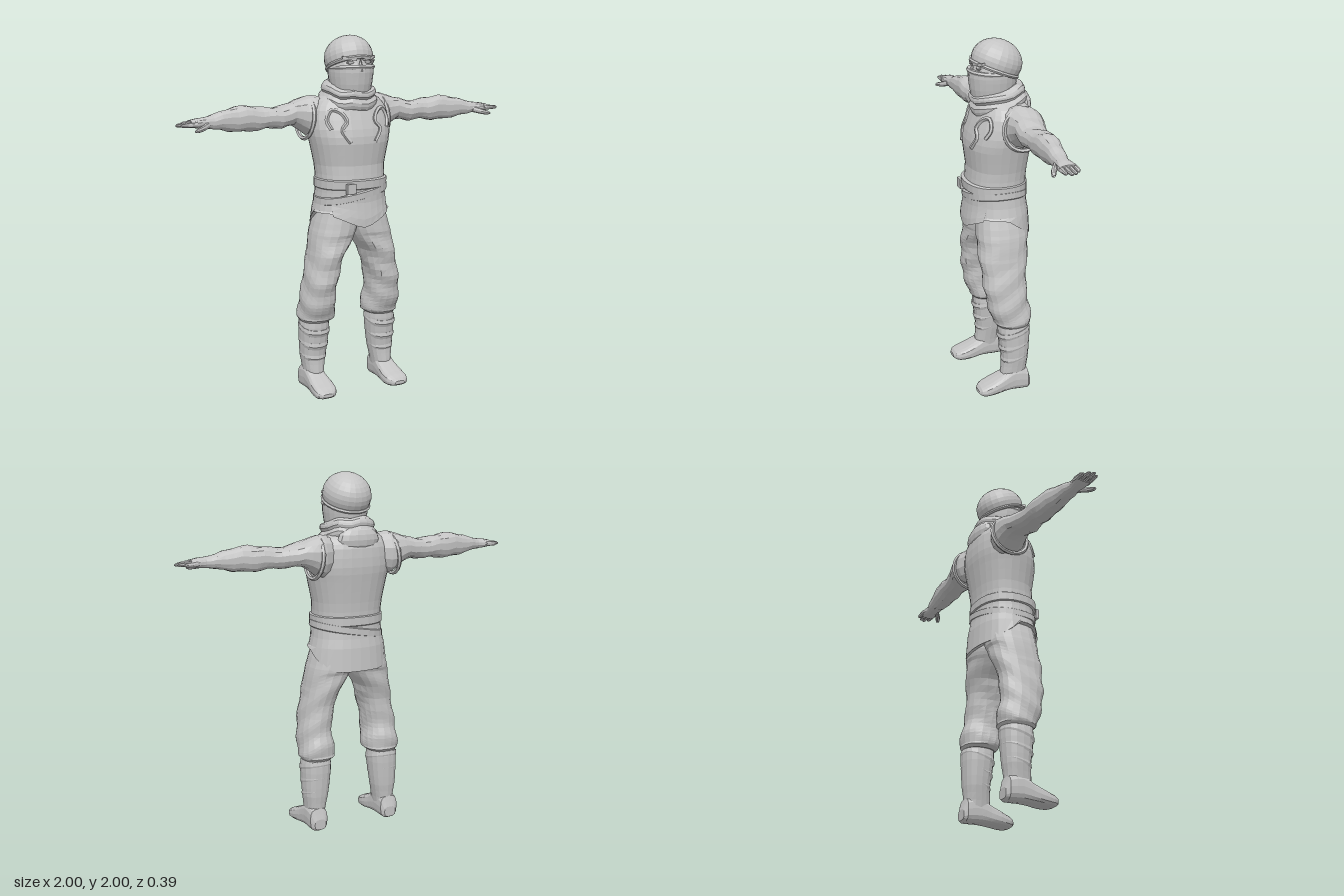
import * as THREE from 'three';

const clay = new THREE.MeshStandardMaterial({ color: 0xc4c4c4, flatShading: true, side: THREE.DoubleSide });
clay.name = 'light grey';

const spow = (v, e) => Math.sign(v) * Math.pow(Math.abs(v), e);

// Smooth interpolation of one row between its neighbours
function blend(rows, i, f) {
  const at = (k) => rows[Math.min(Math.max(k, 0), rows.length - 1)];
  const [p, a, b, n] = [at(i - 1), at(i), at(i + 1), at(i + 2)];
  return a.map((_, c) => {
    const m0 = (b[c] - p[c]) / 2, m1 = (n[c] - a[c]) / 2, f2 = f * f, f3 = f2 * f;
    return c === 0 ? a[0] + (b[0] - a[0]) * f
      : (2 * f3 - 3 * f2 + 1) * a[c] + (f3 - 2 * f2 + f) * m0 + (3 * f2 - 2 * f3) * b[c] + (f3 - f2) * m1;
  });
}

// Loft of rounded sections. Row: [t, aMin, aMax, bMin, bMax] along axis t.
// axis y: a=x b=z, axis x: a=y b=z, axis z: a=x b=y
function loft(rows, { axis = 'y', sides = 18, sub = 2, power = 2.3, bend } = {}) {
  const secs = [];
  for (let i = 0; i < rows.length - 1; i++) for (let s = 0; s < sub; s++) secs.push(blend(rows, i, s / sub));
  secs.push(rows[rows.length - 1]);
  const pos = [], idx = [], flip = axis !== 'y';
  const put = (t, a, b) => {
    const v = axis === 'y' ? [a, t, b] : axis === 'x' ? [t, a, b] : [a, b, t];
    pos.push(...(bend ? bend(...v) : v));
  };
  const tri = (a, b, c) => (flip ? idx.push(a, c, b) : idx.push(a, b, c));
  for (const [t, a0, a1, b0, b1] of secs) for (let j = 0; j < sides; j++) {
    const w = (j / sides) * Math.PI * 2;
    put(t, (a0 + a1) / 2 + (a1 - a0) / 2 * spow(Math.cos(w), 2 / power),
      (b0 + b1) / 2 + (b1 - b0) / 2 * spow(Math.sin(w), 2 / power));
  }
  const n = secs.length;
  const mid = (s) => put(s[0], (s[1] + s[2]) / 2, (s[3] + s[4]) / 2);
  mid(secs[0]);
  mid(secs[n - 1]);
  for (let j = 0; j < sides; j++) {
    const k = (j + 1) % sides;
    for (let i = 0; i < n - 1; i++) {
      const p = i * sides, q = p + sides;
      tri(p + j, q + j, p + k);
      tri(p + k, q + j, q + k);
    }
    tri(n * sides, j, k);
    tri(n * sides + 1, (n - 1) * sides + k, (n - 1) * sides + j);
  }
  const g = new THREE.BufferGeometry();
  g.setAttribute('position', new THREE.Float32BufferAttribute(pos, 3));
  g.setIndex(idx);
  g.computeVertexNormals();
  return g;
}

// Mirrored copy across x = 0
function mirrored(geo) {
  const g = geo.clone().scale(-1, 1, 1), a = g.index.array;
  for (let i = 0; i < a.length; i += 3) [a[i + 1], a[i + 2]] = [a[i + 2], a[i + 1]];
  g.computeVertexNormals();
  return g;
}

const sym = (y, x, z0, z1) => [y, -x, x, z0, z1];
const torso = [
  sym(1.0, .225, -.178, .178), sym(1.1, .203, -.162, .165), sym(1.2, .195, -.155, .168),
  sym(1.3, .2, -.162, .158), sym(1.42, .225, -.18, .172), sym(1.5, .238, -.19, .16),
  sym(1.6, .225, -.185, .125), sym(1.65, .19, -.165, .1), sym(1.7, .11, -.12, .08),
];

// Front surface of the vest, used to lay details on it
function chestZ(x, y) {
  let i = 0;
  while (i < torso.length - 2 && torso[i + 1][0] < y) i++;
  const f = Math.max(0, (y - torso[i][0]) / (torso[i + 1][0] - torso[i][0]));
  const [, , r, z0, z1] = blend(torso, i, f);
  return (z0 + z1) / 2 + (z1 - z0) / 2 * Math.pow(Math.max(0, 1 - Math.pow(Math.abs(x) / r, 2.3)), 1 / 2.3);
}

export function createModel() {
  const model = new THREE.Group();
  model.name = 'figure';
  const add = (name, geo) => {
    const m = new THREE.Mesh(geo, clay);
    m.name = name;
    model.add(m);
    return m;
  };
  const pair = (name, geo) => { add('left' + name, geo); add('right' + name, mirrored(geo)); };

  // Vest with a hem that dips at front and back
  add('vest', loft(torso, {
    sides: 28,
    bend: (x, y, z) => [x, y > 1.01 ? y : z > 0 ? Math.min(1.04, .97 + .4 * Math.abs(x)) : 1.03 - .11 * Math.min(1, -z / .15), z],
  }));

  // Pointed front flap
  const flap = new THREE.PlaneGeometry(.34, 1, 8, 4), fp = flap.attributes.position;
  for (let i = 0; i < fp.count; i++) {
    const x = fp.getX(i), low = .96 + .45 * Math.max(0, Math.abs(x) - .02);
    const y = low + (1.14 - low) * (fp.getY(i) + .5);
    fp.setXYZ(i, x, y, chestZ(x, y) + .01);
  }
  flap.computeVertexNormals();
  add('frontFlap', flap);

  // Belt, slanted strap and buckle
  add('belt', loft([sym(1.17, .197, -.157, .172), sym(1.175, .204, -.163, .182), sym(1.22, .204, -.163, .184),
    sym(1.225, .196, -.157, .172)], { sides: 28, sub: 1 }));
  add('slantedStrap', loft([sym(1.115, .2, -.156, .168), sym(1.12, .208, -.163, .178), sym(1.155, .206, -.163, .18),
    sym(1.16, .196, -.156, .17)], { sides: 28, sub: 1, bend: (x, y, z) => [x, y + x * .18, z] }));
  add('buckle', new THREE.BoxGeometry(.055, .055, .02)).position.set(-.08, 1.18, .178);

  // Curled chest ornaments
  const curl = [[.17, 1.5], [.185, 1.55], [.155, 1.605], [.11, 1.59], [.085, 1.54], [.115, 1.5], [.075, 1.43]]
    .map(([x, y]) => new THREE.Vector3(x, y, chestZ(x, y)));
  pair('ChestOrnament', new THREE.TubeGeometry(new THREE.CatmullRomCurve3(curl), 24, .012, 5));

  // Armhole rims
  pair('ArmholeRim', new THREE.TorusGeometry(.112, .012, 5, 22).rotateY(Math.PI / 2).rotateZ(.12).translate(.232, 1.55, -.075));

  // Arms
  pair('Arm', loft([
    [.12, 1.47, 1.66, -.14, .03], [.2, 1.44, 1.675, -.175, .035], [.25, 1.47, 1.665, -.178, .02],
    [.32, 1.515, 1.642, -.162, .012], [.4, 1.505, 1.622, -.14, .018], [.48, 1.51, 1.622, -.127, .01],
    [.54, 1.502, 1.632, -.122, .012], [.61, 1.5, 1.64, -.114, .01], [.7, 1.508, 1.628, -.096, .008],
    [.79, 1.525, 1.602, -.078, .008], [.84, 1.533, 1.592, -.065, .008], [.88, 1.536, 1.588, -.072, .018],
    [.92, 1.542, 1.58, -.075, .022],
  ], {
    axis: 'x', sides: 14,
    bend: (x, y, z) => [x, y + (x > .3 && x < .8 ? .004 * Math.sin(x * 45 + z * 30) : 0), z],
  }));

  // Fingers and thumb
  [.965, .99, 1, .982].forEach((tip, i) => {
    const z = -.075 + i * .024;
    pair('Finger' + (i + 1), loft([[.89, 1.545, 1.578, z, z + .025], [.95, 1.547, 1.57, z, z + .024],
      [tip - .008, 1.549, 1.565, z + .004, z + .022], [tip, 1.553, 1.56, z + .009, z + .018]], { axis: 'x', sides: 8, sub: 1 }));
  });
  pair('Thumb', loft([[.82, 1.535, 1.57, -.02, .01], [.86, 1.525, 1.557, .005, .038],
    [.9, 1.52, 1.543, .028, .054], [.915, 1.524, 1.534, .038, .05]], { axis: 'x', sides: 8 }));

  // Baggy trousers with slanting creases
  pair('TrouserLeg', loft([
    [.41, .125, .29, -.115, .065], [.425, .103, .302, -.127, .08], [.47, .102, .303, -.128, .1],
    [.55, .112, .296, -.114, .122], [.65, .104, .282, -.105, .137], [.8, .066, .254, -.122, .148],
    [.88, .012, .242, -.136, .15], [.95, -.02, .225, -.146, .148], [1.08, -.02, .185, -.13, .14],
  ], {
    sub: 4,
    bend: (x, y, z) => {
      const k = y > .43 && y < .9 ? 1 + .04 * Math.sin(y * 42 + z * 26 + x * 12) : 1;
      return [.19 + (x - .19) * (y < .8 ? k : 1), y, z * k];
    },
  }));

  // Boots: shaft, wrapped bands and foot
  pair('BootShaft', loft([
    [.05, .172, .278, -.105, .05], [.12, .163, .276, -.1, .048], [.2, .147, .288, -.11, .042],
    [.3, .134, .294, -.117, .055], [.38, .128, .295, -.12, .062], [.43, .135, .285, -.11, .06],
  ], { sides: 16 }));
  [[.205, .145, .291, -.112, .047], [.28, .135, .296, -.118, .058], [.36, .126, .299, -.122, .068]].forEach(([y, a, b, c, d], i) =>
    pair('BootBand' + (i + 1), loft([[y - .02, a + .006, b - .006, c + .006, d - .008], [y, a, b, c, d],
      [y + .02, a + .004, b - .003, c + .004, d - .004]], { sides: 16, sub: 1, bend: (x, yy, z) => [x, yy - z * .25, z] })));
  pair('Foot', loft([
    [-.118, .19, .26, .01, .07], [-.1, .173, .28, 0, .13], [-.02, .168, .282, .004, .15],
    [.04, .164, .286, .004, .115], [.1, .156, .294, 0, .086], [.155, .162, .295, 0, .064],
    [.18, .178, .284, .006, .052], [.193, .2, .262, .016, .036],
  ], { axis: 'z', sides: 16, power: 3 }));

  // Masked face with recessed eyes
  add('maskedFace', loft([
    sym(1.62, .1, -.1, .1), sym(1.7, .108, -.105, .135), sym(1.78, .12, -.115, .148), sym(1.825, .122, -.12, .15),
    sym(1.84, .12, -.12, .132), sym(1.87, .12, -.12, .122), sym(1.92, .115, -.11, .118),
  ], { sides: 22, power: 2.1 }));
  add('maskTopEdge', loft([sym(1.812, .12, -.115, .15), sym(1.822, .125, -.118, .156), sym(1.834, .12, -.115, .15)],
    { sides: 22, sub: 1, bend: (x, y, z) => [x, y + Math.max(0, z) * .08, z] }));
  add('nose', new THREE.ConeGeometry(.022, .07, 5)).position.set(0, 1.845, .132);
  pair('Eye', new THREE.SphereGeometry(.02, 8, 6).scale(1.2, .5, .6).translate(.052, 1.858, .113));
  pair('Brow', new THREE.BoxGeometry(.08, .014, .025).rotateZ(.15).rotateY(.35).translate(.058, 1.88, .113));

  // Close cap tilted back, with a rolled rim
  const cap = new THREE.Group();
  cap.name = 'cap';
  const dome = new THREE.Mesh(new THREE.SphereGeometry(1, 22, 10, 0, Math.PI * 2, 0, Math.PI * .64), clay);
  dome.name = 'capDome';
  const rim = new THREE.Mesh(new THREE.TorusGeometry(.93, .09, 6, 24).rotateX(Math.PI / 2).translate(0, -.36, 0), clay);
  rim.name = 'capRim';
  cap.add(dome, rim);
  cap.scale.set(.134, .119, .142);
  cap.rotation.x = -.38;
  cap.position.set(0, 1.878, -.008);
  model.add(cap);

  // Layered scarf, higher at the back, with a hood resting behind
  add('scarf', loft([
    sym(1.6, .12, -.13, .1), sym(1.63, .15, -.165, .132), sym(1.665, .157, -.17, .14), sym(1.685, .138, -.158, .128),
    sym(1.7, .146, -.16, .142), sym(1.725, .138, -.148, .14), sym(1.74, .112, -.12, .12),
  ], { sides: 24, bend: (x, y, z) => [x, y - z * .2 + .006 * Math.sin(x * 40 + z * 25), z] }));
  add('hoodFold', new THREE.SphereGeometry(1, 14, 8).scale(.125, .075, .05)).position.set(0, 1.645, -.14);

  return model;
}
